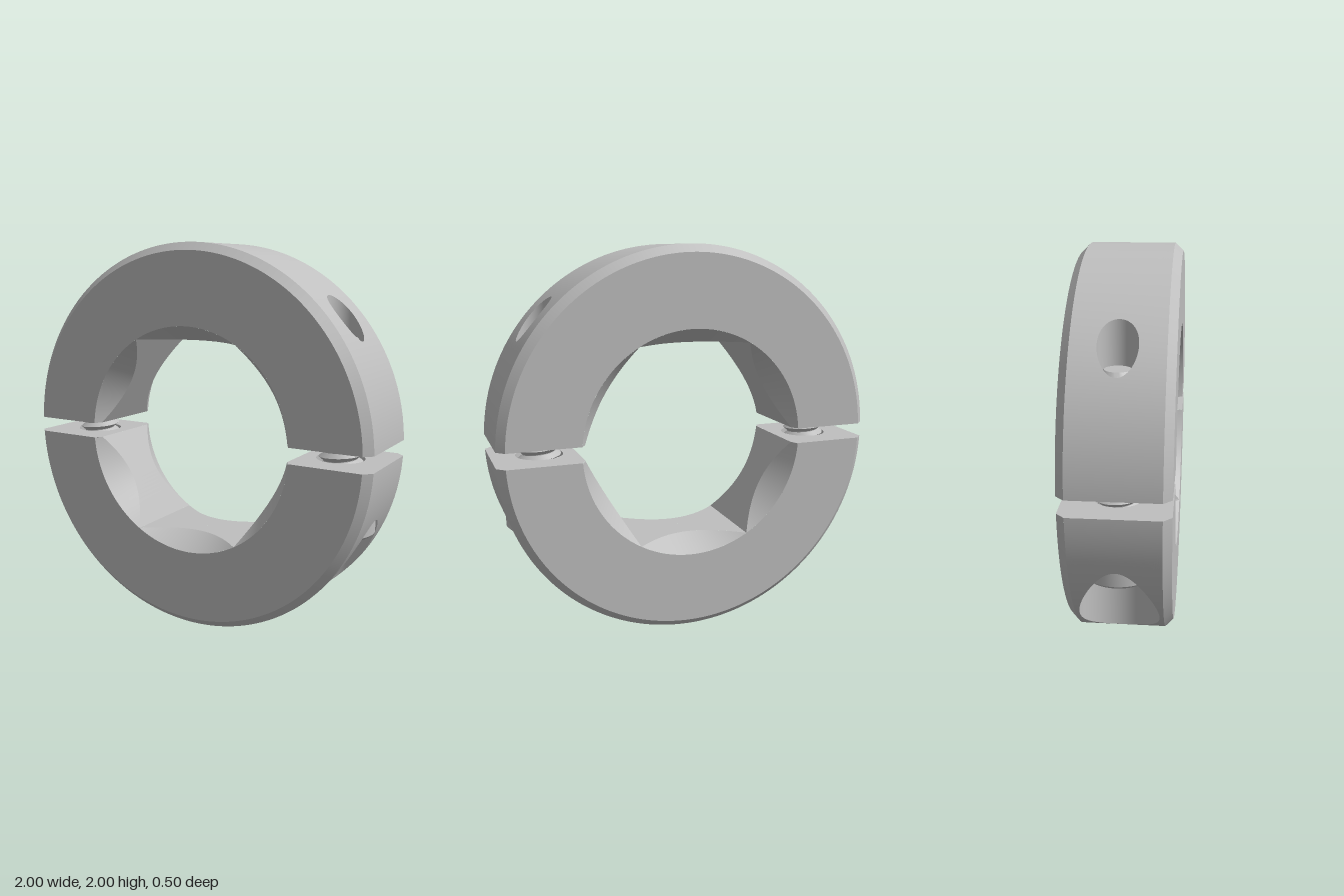
import * as THREE from 'three';
import { toCreasedNormals } from 'three/addons/utils/BufferGeometryUtils.js';
import { ParametricGeometry } from 'three/addons/geometries/ParametricGeometry.js';

const steel = new THREE.MeshStandardMaterial({ name: 'steel grey', color: 0xbfbfbf });

// Main dimensions, measured from the ring's centre
const R = 1, DEPTH = 0.25, CHAMFER = 0.04, GAP = 0.04;
const BORE = 0.59, APOTHEM = BORE * Math.cos(Math.PI / 6);
const SCREW_X = 0.755, HEAD_SEAT = 0.225;
const { sin, cos, asin, acos, abs, max, sqrt, PI } = Math;
const lerp = THREE.MathUtils.lerp;

function add(group, name, geometry) {
  const mesh = new THREE.Mesh(geometry, steel);
  mesh.name = name;
  group.add(mesh);
  return mesh;
}

// Smooth surface from a rule (u, v) -> [x, y, z]
function surface(rule, nu, nv) {
  return new ParametricGeometry((u, v, p) => p.set(...rule(u, v)), nu, nv);
}

// Outer cylinder quarter, fanned from its border to the screw hole's rim
function outerWall(holeR) {
  const mid = acos(SCREW_X), low = asin(GAP / R);
  return surface((u, v) => {
    const t = u * 2 * PI, c = cos(t), s = sin(t), m = max(abs(c), abs(s));
    const border = mid + (c / m) * (c > 0 ? PI / 2 - mid : mid - low);
    const angle = lerp(border, acos(SCREW_X - holeR * c), v);
    return [R * cos(angle), R * sin(angle), lerp((DEPTH - CHAMFER) * s / m, holeR * s, v)];
  }, 128, 14);
}

// Band of a vertical hole; yA = null follows the outer cylinder
function holeBand([rA, yA], [rB, yB]) {
  return surface((u, v) => {
    const t = u * 2 * PI, r = lerp(rA, rB, v);
    const top = yA === null ? sqrt(R * R - (SCREW_X - rA * cos(t)) ** 2) : yA;
    return [SCREW_X - r * cos(t), lerp(top, yB, v), r * sin(t)];
  }, 128, 1);
}

// Hexagonal bore: radius at an angle, and z where the countersink meets it
const hexRadius = (a) => APOTHEM / cos((a % (PI / 3)) - PI / 6);
const hexEdge = (a) => DEPTH - max(0, BORE - hexRadius(a)) / Math.tan(PI / 6);
const CUT = 0.0704;

function boreFlat(a0, a1) {
  return surface((u, v) => {
    const a = lerp(a0 + 1e-4, a1 - 1e-4, u), r = hexRadius(a);
    return [r * cos(a), r * sin(a), hexEdge(a) * (1 - 2 * v)];
  }, 24, 1);
}

function boreCountersink(a0, a1) {
  return surface((u, v) => {
    const a = lerp(a0 + 1e-4, a1 - 1e-4, u), r = lerp(BORE, hexRadius(a), v);
    return [r * cos(a), r * sin(a), lerp(DEPTH, hexEdge(a), v)];
  }, 24, 2);
}

// Flat ring face
function sideFace() {
  const ro = R - CHAMFER, ao = asin(GAP / ro), ai = asin(GAP / BORE);
  const shape = new THREE.Shape();
  shape.absarc(0, 0, ro, ao, PI - ao, false);
  shape.absarc(0, 0, BORE, PI - ai, ai, true);
  return new THREE.ShapeGeometry(shape, 96).translate(0, 0, DEPTH);
}

function rimChamfer() {
  return surface((u, v) => {
    const r = R - CHAMFER * v, a0 = asin(GAP / r), a = lerp(a0, PI - a0, u);
    return [r * cos(a), r * sin(a), DEPTH - CHAMFER * (1 - v)];
  }, 96, 1);
}

// Face along the split, with the screw hole through it
function splitFace(holeR) {
  const xi = hexRadius(CUT) * cos(CUT), zi = hexEdge(CUT), z = DEPTH - CHAMFER;
  const half = [[xi, zi], [BORE, DEPTH], [R - CHAMFER, DEPTH], [R, z]];
  const points = [...half, ...half.map(([x, y]) => [x, -y]).reverse()];
  const shape = new THREE.Shape(points.map((p) => new THREE.Vector2(...p)));
  shape.holes.push(new THREE.Path().absarc(SCREW_X, 0, holeR, 0, 2 * PI));
  return new THREE.ShapeGeometry(shape, 32).rotateX(PI / 2).translate(0, GAP, 0);
}

// Half ring: one side plus the same side turned about the vertical axis
function collarHalf(name, holeProfile) {
  const half = new THREE.Group();
  half.name = name;
  const side = new THREE.Group();
  side.name = 'collarSide';
  add(side, 'outerWall', outerWall(holeProfile[0][0]));
  for (let i = 1; i < holeProfile.length; i++) {
    add(side, 'screwHole', holeBand(holeProfile[i - 1], holeProfile[i]));
  }
  add(side, 'splitFace', splitFace(holeProfile.at(-1)[0]));
  add(side, 'sideFace', sideFace());
  add(side, 'rimChamfer', rimChamfer());
  add(side, 'boreFlat', boreFlat(CUT, PI / 3));
  add(side, 'boreFlat', boreFlat(PI / 3, PI / 2));
  const corners = [CUT, PI / 3, 2 * PI / 3, PI - CUT];
  for (let i = 0; i < 3; i++) {
    add(side, 'boreCountersink', boreCountersink(corners[i], corners[i + 1]));
  }
  const other = side.clone();
  other.rotation.y = PI;
  half.add(side, other);
  return half;
}

// Socket-head screw standing on its head
function clampScrew() {
  const screw = new THREE.Group();
  screw.name = 'clampScrew';
  const bottom = -0.415, socketR = 0.1, socketDepth = 0.1;
  const profile = [[0.165, bottom], [0.18, bottom + 0.015], [0.18, -HEAD_SEAT], [0.085, -HEAD_SEAT],
    [0.085, 0.52], [0.06, 0.55], [0, 0.55]].map((p) => new THREE.Vector2(...p));
  add(screw, 'screwBody', toCreasedNormals(new THREE.LatheGeometry(profile, 48), 0.5));

  // Head face with a hexagonal socket
  const face = new THREE.Shape().absarc(0, 0, 0.165, 0, 2 * PI);
  const hex = Array.from({ length: 6 }, (_, i) =>
    new THREE.Vector2(socketR * sin(i * PI / 3), socketR * cos(i * PI / 3)));
  face.holes.push(new THREE.Path(hex));
  add(screw, 'headFace', new THREE.ShapeGeometry(face, 24).rotateX(PI / 2).translate(0, bottom, 0));
  const socket = new THREE.CylinderGeometry(socketR, socketR, socketDepth, 6, 1, true).scale(-1, 1, 1);
  add(screw, 'socketWall', toCreasedNormals(socket, 0.5).translate(0, bottom + socketDepth / 2, 0));
  add(screw, 'socketFloor', new THREE.CircleGeometry(socketR, 6).rotateZ(PI / 6).rotateX(PI / 2)
    .translate(0, bottom + socketDepth, 0));

  // Helical V thread across the split
  const pitch = 0.045, turns = 5;
  const thread = surface((u, v) => {
    const t = u * 2 * PI, row = Math.round(v * turns * 2);
    const r = row % 2 ? 0.11 : 0.083;
    return [r * sin(t), pitch * (v * turns + u - (turns + 1) / 2), r * cos(t)];
  }, 48, turns * 2);
  add(screw, 'thread', toCreasedNormals(thread, 0.5));
  return screw;
}

export function createModel() {
  const model = new THREE.Group();
  model.name = 'splitShaftCollar';

  const upper = collarHalf('upperHalf', [[0.09, null], [0.09, GAP]]);
  const lower = collarHalf('lowerHalf', [[0.19, null], [0.19, HEAD_SEAT], [0.12, HEAD_SEAT], [0.12, GAP]]);
  lower.rotation.x = PI;
  model.add(upper, lower);

  for (const s of [1, -1]) {
    const screw = clampScrew();
    screw.position.x = s * SCREW_X;
    model.add(screw);
  }

  // Stand the ring on the ground
  for (const part of model.children) part.position.y = R;
  return model;
}
